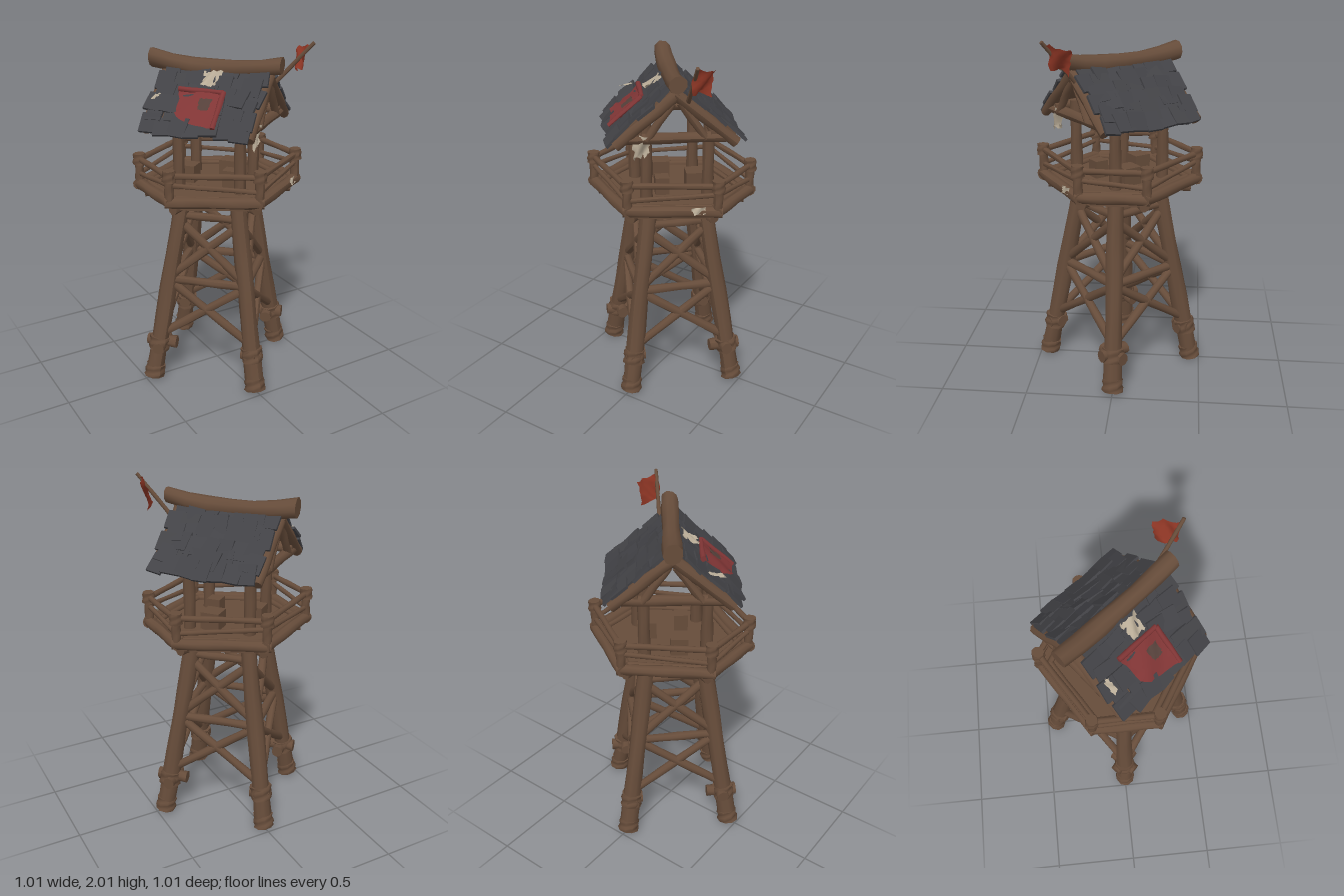
import * as THREE from 'three';

export function createModel() {
  const tower = new THREE.Group();
  tower.name = 'watchtower';
  const mat = (name, hex, both) => {
    const m = new THREE.MeshStandardMaterial({ color: hex });
    m.name = name;
    if (both) m.side = THREE.DoubleSide;
    return m;
  };
  const wood = mat('wood', 0x664c3a);
  const slate = mat('slate', 0x424246);
  const redCloth = mat('red cloth', 0x803535, true);
  const stain = mat('stained cloth', 0x55403a, true);
  const flagRed = mat('flag red', 0x8c3524, true);
  const cream = mat('cream cloth', 0xb8ab96, true);

  let seed = 7;
  const rand = (a) => {
    seed = (seed * 16807) % 2147483647;
    return (seed / 2147483647 * 2 - 1) * a;
  };
  const V = (x, y, z) => new THREE.Vector3(x, y, z);
  const UP = V(0, 1, 0);

  const add = (parent, name, geo, material) => {
    const m = new THREE.Mesh(geo, material);
    m.name = name;
    parent.add(m);
    return m;
  };

  // Slightly lumpy log from a to b; bend lifts both ends
  const log = (parent, name, a, b, r0, r1 = r0, bend = 0) => {
    const dir = b.clone().sub(a), len = dir.length();
    const geo = new THREE.CylinderGeometry(r1, r0, len, 9, 6);
    const q = new THREE.Quaternion().setFromUnitVectors(UP, dir.normalize());
    const mid = a.clone().add(b).multiplyScalar(0.5);
    const phase = rand(3), p = geo.attributes.position, v = V(0, 0, 0);
    for (let i = 0; i < p.count; i++) {
      v.fromBufferAttribute(p, i);
      const t = 2 * v.y / len;
      const k = 1 + 0.07 * Math.sin(5 * t + phase + 2 * Math.atan2(v.z, v.x));
      v.x *= k;
      v.z *= k;
      v.applyQuaternion(q).add(mid);
      v.y += bend * t * t;
      p.setXYZ(i, v.x, v.y, v.z);
    }
    geo.computeVertexNormals();
    return add(parent, name, geo, wood);
  };

  // Rippled cloth spanning four corners, with a ragged border
  const cloth = (parent, name, c, material, ripple = 0.008, ragged = 0.006) => {
    const n = 7, geo = new THREE.PlaneGeometry(1, 1, n, n), p = geo.attributes.position;
    const nrm = c[1].clone().sub(c[0]).cross(c[3].clone().sub(c[0])).normalize();
    for (let i = 0; i < p.count; i++) {
      const u = p.getX(i) + 0.5, w = 0.5 - p.getY(i);
      const v = c[0].clone().lerp(c[1], u).lerp(c[3].clone().lerp(c[2], u), w);
      v.addScaledVector(nrm, ripple * Math.sin(7 * u + 4 * w));
      if (u < 0.01 || u > 0.99 || w < 0.01 || w > 0.99) v.add(V(rand(ragged), rand(ragged), rand(ragged)));
      p.setXYZ(i, v.x, v.y, v.z);
    }
    geo.computeVertexNormals();
    return add(parent, name, geo, material);
  };

  // Four splayed legs with feet, collars and upper posts
  const legAt = (i, y) => {
    const r = 0.445 - 0.195 * y, a = i * Math.PI / 2;
    return V(r * Math.cos(a), y, r * Math.sin(a));
  };
  for (let i = 0; i < 4; i++) {
    log(tower, 'leg', legAt(i, 0.01), legAt(i, 1.14), 0.054, 0.047);
    log(tower, 'foot', legAt(i, 0), legAt(i, 0.075), 0.062, 0.057);
    log(tower, 'legBand', legAt(i, 0.175), legAt(i, 0.255), 0.063);
    const a = i * Math.PI / 2, reach = i % 2 ? 0.06 : 0.09;
    for (const s of [-1, 1]) {
      const d = V(Math.cos(a + s * Math.PI / 4), 0, Math.sin(a + s * Math.PI / 4)).multiplyScalar(reach);
      const c = legAt(i, 0.215 + s * 0.006).multiply(V(0.95, 1, 0.98));
      log(tower, 'collarLog', c.clone().sub(d), c.clone().add(d), 0.036);
    }
    log(tower, 'cornerPost', V(0.25 * Math.cos(a), 1.14, 0.25 * Math.sin(a)),
      V(0.25 * Math.cos(a), 1.62, 0.25 * Math.sin(a)), 0.036, 0.031);

    // Braces between neighbouring legs
    const j = (i + 1) % 4;
    for (const [y, r] of [[1.01, 0.023], [0.62, 0.025], [1.1, 0.035]]) log(tower, 'crossBeam', legAt(i, y), legAt(j, y), r);
    for (const [lo, hi] of [[0.64, 0.98], [0.27, 0.61]]) {
      log(tower, 'diagonalBrace', legAt(i, lo), legAt(j, hi), 0.025);
      log(tower, 'diagonalBrace', legAt(j, lo), legAt(i, hi), 0.025);
    }
  }

  // Six-sided platform with a narrower lower deck
  const hex = [[0.005, 0.445], [0.42, 0.185], [0.42, -0.185], [0.005, -0.445], [-0.41, -0.185], [-0.41, 0.185]];
  for (const [name, scale, top, depth] of [['platformFloor', 0.98, 1.175, 0.04], ['lowerDeck', 0.9, 1.14, 0.025]]) {
    const shape = new THREE.Shape(hex.map(([x, z]) => new THREE.Vector2(x * scale, z * scale)));
    const geo = new THREE.ExtrudeGeometry(shape, { depth, bevelEnabled: false });
    geo.rotateX(Math.PI / 2);
    add(tower, name, geo, wood).position.y = top;
  }

  const at = (k, y, s = 1) => V(hex[k % 6][0] * s, y, hex[k % 6][1] * s);
  for (let k = 0; k < 6; k++) {
    log(tower, 'floorJoist', at(k, 1.125, 0.1), at(k, 1.125, 0.94), 0.03);
    const over = at(k + 1, 0).sub(at(k, 0)).multiplyScalar(0.05);
    log(tower, 'edgeLog', at(k, 1.175).sub(over), at(k + 1, 1.175).add(over), 0.032);
    log(tower, 'innerEdgeLog', at(k, 1.18, 0.88), at(k + 1, 1.18, 0.88), 0.017);
    log(tower, 'railPost', at(k, 1.16), at(k, 1.31), 0.026);
    log(tower, 'railPostCap', at(k, 1.295), at(k, 1.357), 0.038, 0.034);
    log(tower, 'topRail', at(k, 1.326), at(k + 1, 1.322), 0.017);
    const tilt = k % 2 ? 0.018 : -0.018;
    log(tower, 'lowerRail', at(k, 1.256 + tilt), at(k + 1, 1.256 - tilt), 0.014);
  }

  // Low crates on the floor
  for (const [x, z, s] of [[-0.13, -0.1, 0.1], [0.13, -0.06, 0.11], [0.02, 0.12, 0.08]]) {
    const crate = add(tower, 'crate', new THREE.BoxGeometry(s, 0.1, s), wood);
    crate.position.set(x, 1.225, z);
    crate.rotation.y = 0.67;
  }

  // Gabled roof: local z follows the ridge, local x runs down the slopes
  const roof = new THREE.Group();
  roof.name = 'roof';
  roof.rotation.y = 0.669;
  tower.add(roof);
  const RIDGE = 1.828, RUN = 0.345, DROP = 0.29, LEN = Math.hypot(RUN, DROP);
  log(roof, 'ridgeLog', V(0, 1.833, -0.4), V(0, 1.833, 0.375), 0.054, 0.048, 0.04);

  for (const side of [-1, 1]) {
    // Slope boards with overlapping ragged slates
    const half = new THREE.Group();
    half.name = 'roofHalf';
    half.rotation.y = side > 0 ? 0 : Math.PI;
    roof.add(half);
    const slope = new THREE.Group();
    slope.name = 'slope';
    slope.position.y = RIDGE;
    slope.rotation.z = -Math.atan2(DROP, RUN);
    half.add(slope);
    add(slope, 'roofBoard', new THREE.BoxGeometry(LEN - 0.03, 0.018, 0.6), wood).position.x = LEN / 2 - 0.015;
    for (let row = 0; row < 6; row++) {
      for (let col = 0; col < 7; col++) {
        const tile = add(slope, 'slateTile', new THREE.BoxGeometry(0.115, 0.016, 0.1 + rand(0.012)), slate);
        tile.position.set(0.05 + row * 0.073 + rand(0.012), 0.02 + rand(0.005),
          (col - 3) * 0.087 + (row % 2 ? 0.012 : -0.012) + rand(0.008));
        tile.rotation.set(rand(0.12), rand(0.18), -0.07 + rand(0.12));
      }
    }

    // Beam under the eave
    log(half, 'eaveBeam', V(0.21, 1.585, -0.31), V(0.21, 1.585, 0.31), 0.03);
    log(half, 'eavePole', V(0.315, 1.545, -0.28), V(0.315, 1.545, 0.28), 0.017);

    // Gable rafters and struts at both ends
    for (const end of [-1, 1]) {
      const z = end * 0.3;
      log(half, 'rafter', V(-0.01, 1.81, z), V(0.325, 1.532, z), 0.034, 0.03);
      log(half, 'gableStrut', V(0.16, 1.56, z), V(0.02, 1.76, z), 0.022);
    }
    log(roof, 'gableBeam', V(-0.27, 1.565, side * 0.29), V(0.27, 1.565, side * 0.29), 0.03);
  }

  // Red cloth pinned to the roof, with rolled edges and a stain
  const onRoof = (w, s, lift) => V(-w, RIDGE - w * DROP / RUN + lift, s);
  const red = [onRoof(0.165, -0.16, 0.05), onRoof(0.165, 0.1, 0.05), onRoof(0.35, 0.105, 0.05), onRoof(0.32, -0.12, 0.055)];
  cloth(roof, 'roofCloth', red, redCloth, 0.006, 0.008);
  for (let k = 0; k < 2; k++) log(roof, 'clothRoll', red[k], red[k + 1], 0.016, 0.013).material = redCloth;
  cloth(roof, 'clothStain', [onRoof(0.215, -0.02, 0.062), onRoof(0.21, 0.055, 0.062),
    onRoof(0.27, 0.05, 0.062), onRoof(0.275, -0.01, 0.062)], stain, 0.001, 0.004);

  // Pale rags
  cloth(roof, 'ridgeRag', [onRoof(0.065, -0.055, 0.055), onRoof(0.06, 0.055, 0.055),
    onRoof(0.14, 0.045, 0.06), onRoof(0.15, -0.035, 0.06)], cream, 0.008);
  cloth(tower, 'eaveRag', [V(-0.395, 1.695, -0.055), V(-0.325, 1.71, -0.115),
    V(-0.31, 1.715, -0.085), V(-0.365, 1.7, -0.04)], cream, 0.003, 0.004);
  cloth(tower, 'hangingRag', [V(0, 1.59, 0.39), V(0.09, 1.575, 0.33),
    V(0.06, 1.47, 0.32), V(0.01, 1.455, 0.37)], cream, 0.012, 0.012);
  cloth(tower, 'edgeRag', [V(0.31, 1.21, 0.29), V(0.38, 1.215, 0.24),
    V(0.375, 1.175, 0.25), V(0.33, 1.17, 0.285)], cream, 0.004);

  // Leaning flag
  log(tower, 'flagPole', V(0.24, 1.76, 0.21), V(0.385, 1.995, 0.365), 0.013, 0.01);
  cloth(tower, 'flag', [V(0.375, 1.975, 0.345), V(0.41, 1.96, 0.21),
    V(0.37, 1.83, 0.215), V(0.325, 1.85, 0.33)], flagRed, 0.014, 0.008);

  return tower;
}
